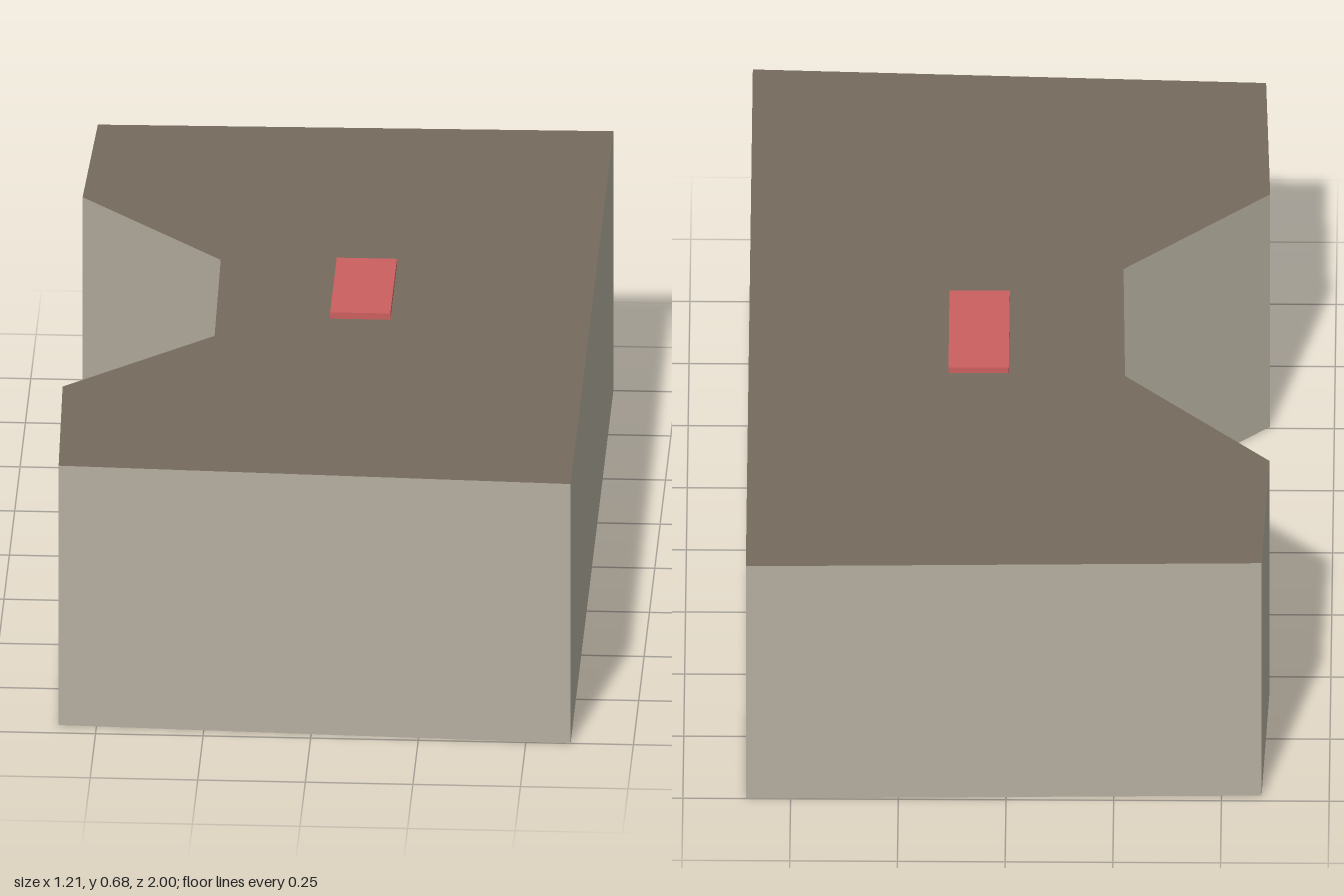
import * as THREE from 'three';

const HEIGHT = 0.66;

// Footprint corners as [x, z], clockwise from above
const FOOTPRINT = [
  [-0.593, -0.978], [0.604, -1], [0.604, 1], [-0.588, 0.955],
  [-0.601, 0.507], [-0.263, 0.203], [-0.27, -0.227], [-0.608, -0.566],
];

// Upright walls along the footprint, open at the bottom
function wallGeometry(points, height) {
  const positions = [];
  points.forEach(([ax, az], i) => {
    const [bx, bz] = points[(i + 1) % points.length];
    positions.push(
      ax, 0, az, ax, height, az, bx, height, bz,
      ax, 0, az, bx, height, bz, bx, 0, bz,
    );
  });
  const geometry = new THREE.BufferGeometry();
  geometry.setAttribute('position', new THREE.Float32BufferAttribute(positions, 3));
  geometry.computeVertexNormals();
  return geometry;
}

function material(name, color, side = THREE.FrontSide) {
  const result = new THREE.MeshStandardMaterial({ color, side });
  result.name = name;
  return result;
}

export function createModel() {
  const model = new THREE.Group();
  model.name = 'building';

  const add = (name, geometry, mat) => {
    const mesh = new THREE.Mesh(geometry, mat);
    mesh.name = name;
    model.add(mesh);
    return mesh;
  };

  add('walls', wallGeometry(FOOTPRINT, HEIGHT), material('stone', 0xb5af9f, THREE.DoubleSide));

  // Flat roof closing the top
  const outline = new THREE.Shape(FOOTPRINT.map(([x, z]) => new THREE.Vector2(x, -z)));
  const roof = new THREE.ShapeGeometry(outline).rotateX(-Math.PI / 2);
  add('roof', roof, material('brown', 0x766a5d, THREE.DoubleSide)).position.y = HEIGHT;

  // Low slab lying on the roof
  const slab = add('roofSlab', new THREE.BoxGeometry(0.14, 0.016, 0.31), material('red', 0xcc5f5f));
  slab.position.set(0.07, HEIGHT + 0.008, -0.063);

  return model;
}
